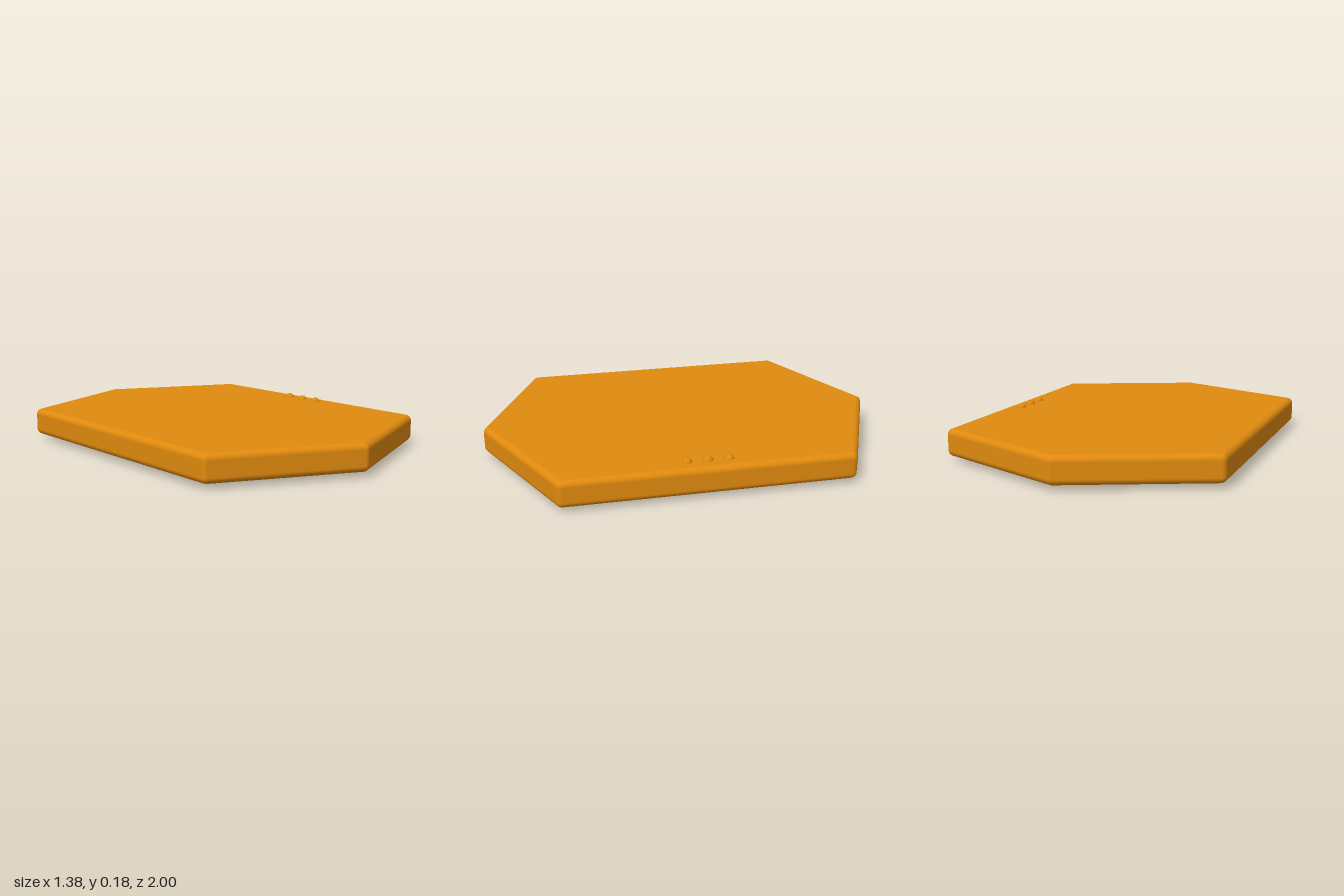
import * as THREE from 'three';

const material = new THREE.MeshStandardMaterial({ color: 0xe08a0e });

// Hexagonal slab with every edge and corner rounded by radius r
function roundedHexSlab(halfX, halfZ, sideZ, bottom, top, r) {
  const x = halfX - r, z = halfZ - r;
  const slant = Math.atan2(x, z - sideZ);
  const turns = [0, slant, Math.PI - slant, Math.PI, Math.PI + slant, 2 * Math.PI - slant, 2 * Math.PI];
  const corners = [[x, sideZ], [0, z], [-x, sideZ], [-x, -sideZ], [0, -z], [x, -sideZ]];
  const outline = [];
  corners.forEach(([cx, cz], i) => {
    for (let k = 0; k <= 5; k++) {
      const a = THREE.MathUtils.lerp(turns[i], turns[i + 1], k / 5);
      outline.push([cx, cz, Math.cos(a), Math.sin(a)]);
    }
  });

  // Rings: centre of the base, lower round, upper round, centre of the top
  const rings = [[0, -Math.PI / 2, bottom + r]];
  for (let k = 0; k <= 6; k++) rings.push([1, (k / 6 - 1) * Math.PI / 2, bottom + r]);
  for (let k = 0; k <= 6; k++) rings.push([1, (k / 6) * Math.PI / 2, top - r]);
  rings.push([0, Math.PI / 2, top - r]);

  const position = [], normal = [], index = [], n = outline.length;
  rings.forEach(([spread, phi, y], j) => {
    const c = Math.cos(phi), s = Math.sin(phi);
    outline.forEach(([cx, cz, dx, dz], i) => {
      position.push(cx * spread + dx * r * c, y + r * s, cz * spread + dz * r * c);
      normal.push(dx * c, s, dz * c);
      if (j === rings.length - 1) return;
      const a = j * n + i, b = j * n + (i + 1) % n;
      index.push(a, a + n, b, b, a + n, b + n);
    });
  });
  const geometry = new THREE.BufferGeometry();
  geometry.setAttribute('position', new THREE.Float32BufferAttribute(position, 3));
  geometry.setAttribute('normal', new THREE.Float32BufferAttribute(normal, 3));
  geometry.setIndex(index);
  return geometry;
}

export function createModel() {
  const model = new THREE.Group();
  const add = (name, geometry, x = 0, y = 0, z = 0) => {
    const mesh = new THREE.Mesh(geometry, material);
    mesh.name = name;
    mesh.position.set(x, y, z);
    model.add(mesh);
  };

  add('slab', roundedHexSlab(0.69, 1, 0.68, 0.022, 0.157, 0.03));

  // Six low round feet, one near each corner
  const footProfile = [[0, 0], [0.058, 0], [0.07, 0.004], [0.077, 0.012], [0.077, 0.03]]
    .map(([x, y]) => new THREE.Vector2(x, y));
  const foot = new THREE.LatheGeometry(footProfile, 20);
  for (const z of [-1, 1]) {
    for (const x of [-0.475, 0.465]) add('foot', foot, x, 0, z * 0.54);
    add('foot', foot, 0.01, 0, z * 0.765);
  }

  // Row of three small domed buttons by the left edge
  const button = new THREE.SphereGeometry(0.025, 12, 8);
  for (const z of [-0.1, 0, 0.1]) add('button', button, 0.605, 0.153, z);

  return model;
}
